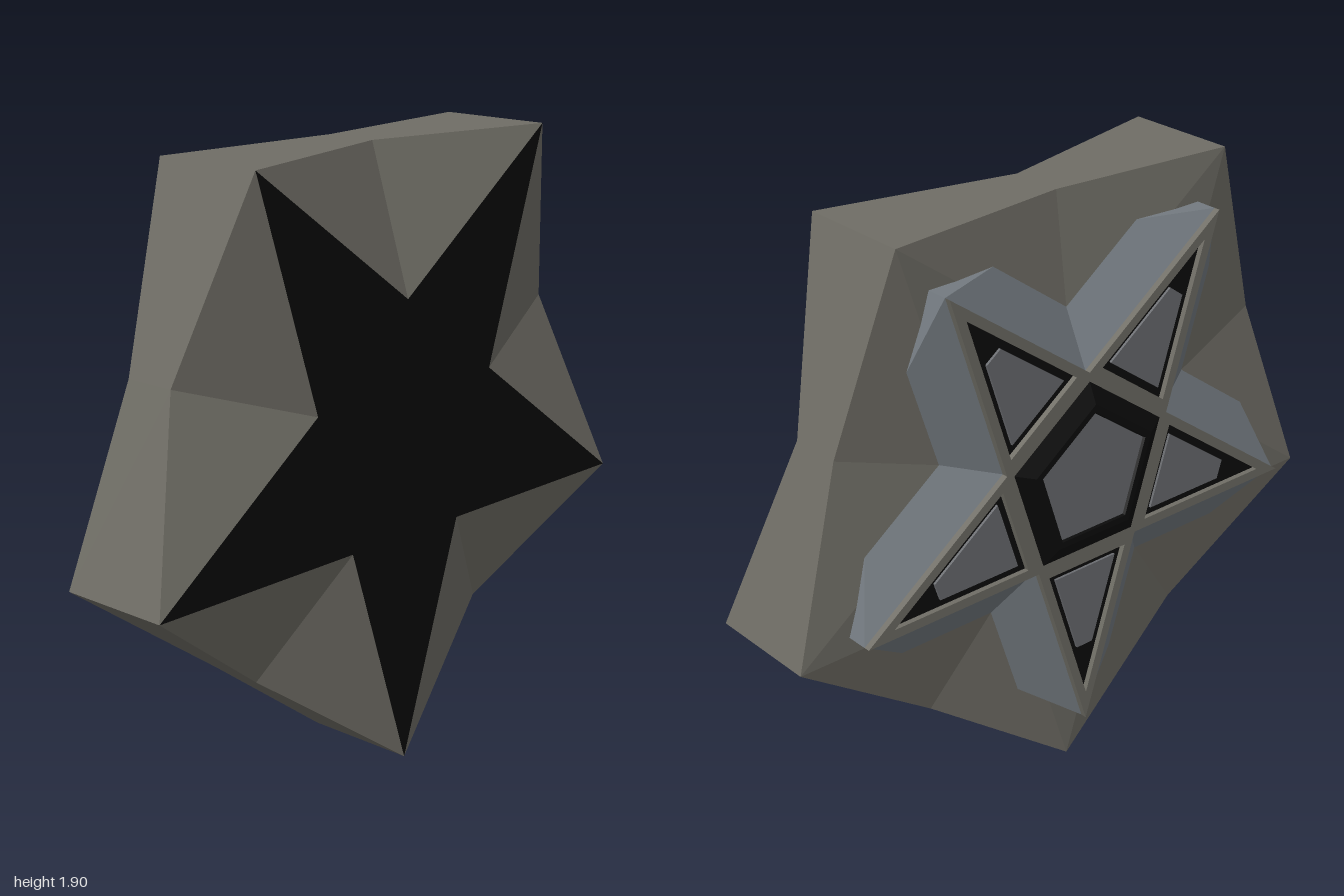
import * as THREE from 'three';

const CY = 1.0515;               // height of the star centre
const STEP = Math.PI / 5;        // 36 degrees between tip and notch
const IN = 0.382;                // notch radius / tip radius of a pentagram

const material = (color) => new THREE.MeshStandardMaterial({ color, flatShading: true });
const stone = material(0x6f6d65);
const black = material(0x0a0a0a);
const crystal = material(0x737a80);
const panelGrey = material(0x6a6c70);

// Point at radius r, n steps round from the bottom tip, at depth x
const P = (r, n, x) => [x, CY - r * Math.cos(n * STEP), r * Math.sin(n * STEP)];

function facets(name, triangles, mat) {
  const g = new THREE.BufferGeometry();
  g.setAttribute('position', new THREE.Float32BufferAttribute(triangles.flat(2), 3));
  g.computeVertexNormals();
  const mesh = new THREE.Mesh(g, mat);
  mesh.name = name;
  return mesh;
}

// Flat star cap
function starCap(R, x, face) {
  const tris = [];
  for (let n = 0; n < 10; n++) {
    const a = P(n % 2 ? R * IN : R, n, x);
    const b = P(n % 2 ? R : R * IN, n + 1, x);
    tris.push(face < 0 ? [P(0, 0, x), a, b] : [P(0, 0, x), b, a]);
  }
  return tris;
}

// Two sloping facets in every notch, falling to the middle of the pentagon edge
function notchFacets(R, xStar, xMid, face) {
  const tris = [];
  for (let n = 0; n < 10; n += 2) {
    const t = P(R, n, xStar), t2 = P(R, n + 2, xStar);
    const i = P(R * IN, n + 1, xStar), m = P(R * Math.cos(STEP), n + 1, xMid);
    for (const tri of [[t, m, i], [i, m, t2]]) tris.push(face < 0 ? tri : tri.reverse());
  }
  return tris;
}

// Outer wall between two depths, each given at the tips and at the edge middles
function rim(R, backTip, backMid, frontTip, frontMid) {
  const tris = [];
  for (let n = 0; n < 10; n++) {
    const corner = (k, tip, mid) => (k % 2 ? P(R * Math.cos(STEP), k, mid) : P(R, k, tip));
    const a = corner(n, backTip, backMid), b = corner(n, frontTip, frontMid);
    const c = corner(n + 1, frontTip, frontMid), d = corner(n + 1, backTip, backMid);
    tris.push([a, b, c], [a, c, d]);
  }
  return tris;
}

// Outline in the z-y plane, from [radius, step] pairs
const outline = (pts) => pts.map(([r, n]) =>
  new THREE.Vector2(r * Math.sin(n * STEP), -r * Math.cos(n * STEP)));

// Plate extruded towards -x
function plate(name, shape, x, depth, mat) {
  const g = new THREE.ExtrudeGeometry(shape, { depth, bevelEnabled: false });
  g.rotateY(-Math.PI / 2);
  g.translate(x, CY, 0);
  const mesh = new THREE.Mesh(g, mat);
  mesh.name = name;
  return mesh;
}

// Arm triangle shrunk about its incentre, optionally cut off before the tip
function armOutline(R, n, scale, cut) {
  const base = R * IN * Math.cos(STEP), half = R * IN * Math.sin(STEP);
  const centre = base + 0.142;
  const lo = centre + (base - centre) * scale, hi = centre + (R - centre) * scale;
  const w = half * scale;
  const pts = [[-w, lo], [w, lo]];
  if (cut) {
    const cw = w * (hi - cut) / (hi - lo);
    pts.push([cw, cut], [-cw, cut]);
  } else pts.push([0, hi]);
  return pts.map(([u, r]) => new THREE.Vector2(u, -r)
    .rotateAround(new THREE.Vector2(), n * STEP));
}

export function createModel() {
  const group = new THREE.Group();
  const R = 1.0515, r = 0.87;

  // Thick faceted pentagon body with a black star on one face
  group.add(facets('body', [
    ...notchFacets(R, 0.243, 0.1, 1),
    ...rim(R, -0.13, -0.07, 0.243, 0.1),
    ...notchFacets(R, -0.13, -0.07, -1),
    ...starCap(R, -0.13, -1),
  ], stone));
  group.add(facets('starFace', starCap(R, 0.243, 1), black));

  // Smaller faceted layer on the other face
  group.add(facets('crystalFacets', [
    ...notchFacets(r, -0.2, -0.02, -1),
    ...rim(r, -0.2, -0.02, -0.02, -0.02),
  ], crystal));
  group.add(facets('starFloor', starCap(r, -0.203, -1), black));

  // Pentagram frame with an opening in each arm and in the middle
  const frame = new THREE.Shape(outline(
    Array.from({ length: 10 }, (_, n) => [n % 2 ? r * IN : r, n])));
  frame.holes.push(new THREE.Path(outline([1, 3, 5, 7, 9].map((n) => [0.295, n]))));
  for (let n = 0; n < 10; n += 2) {
    frame.holes.push(new THREE.Path(armOutline(r, n, 0.79)));
    // Grey inset in each arm
    group.add(plate('armPanel', new THREE.Shape(armOutline(r, n, 0.62, 0.6)), -0.2, 0.011, panelGrey));
  }
  group.add(plate('starFrame', frame, -0.2, 0.02, stone));

  // Raised pentagonal boss with a recessed grey panel
  const profile = [[0.315, 0.215], [0.24, 0.248], [0.215, 0.248], [0.208, 0.235]]
    .map(([a, b]) => new THREE.Vector2(a, b));
  const boss = new THREE.Mesh(new THREE.LatheGeometry(profile, 5, Math.PI / 2), black);
  const panel = new THREE.Mesh(
    new THREE.CylinderGeometry(0.212, 0.212, 0.03, 5, 1, false, Math.PI / 2), panelGrey);
  panel.geometry.translate(0, 0.225, 0);
  boss.name = 'centreBoss';
  panel.name = 'centrePanel';
  for (const m of [boss, panel]) {
    m.geometry.rotateZ(Math.PI / 2);
    m.geometry.translate(0, CY, 0);
    group.add(m);
  }
  return group;
}
